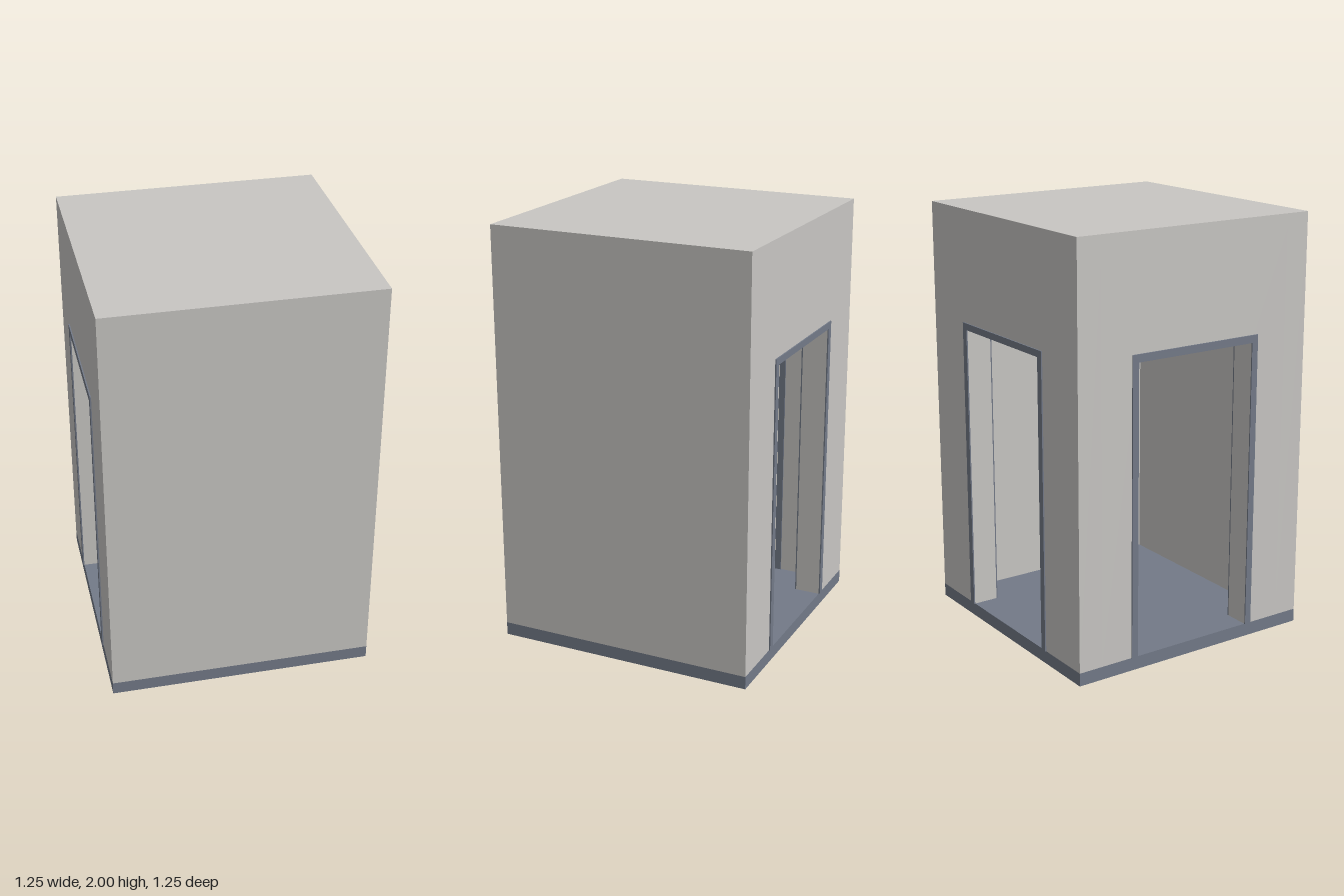
import * as THREE from 'three';

const H = 0.622;     // half width of the room
const T = 0.12;      // wall thickness
const BASE = 0.062;  // floor slab height
const TOP = 2;
const ROOF = 0.065;
const P = 0.006;     // how far the door trim stands proud
const DOOR = { half: 0.312, top: 1.437, trim: 0.032 };

export function createModel() {
  const plaster = new THREE.MeshStandardMaterial({ color: 0xc8c6c3 });
  plaster.name = 'warm grey plaster';
  const slate = new THREE.MeshStandardMaterial({ color: 0x737a88 });
  slate.name = 'slate blue';

  const model = new THREE.Group();
  model.name = 'room';
  const room = new THREE.Group();
  room.name = 'roomShell';
  room.position.set(P / 2, 0, P / 2); // centre the whole, trim included
  model.add(room);

  function add(parent, name, geometry, material, x, y, z) {
    const mesh = new THREE.Mesh(geometry, material);
    mesh.name = name;
    mesh.position.set(x, y, z);
    parent.add(mesh);
    return mesh;
  }

  // Upside-down U: an outer rectangle with a doorway cut up from the floor
  function archShape(outerHalf, outerTop, innerHalf, innerTop) {
    return new THREE.Shape([
      [-outerHalf, BASE], [-innerHalf, BASE], [-innerHalf, innerTop], [innerHalf, innerTop],
      [innerHalf, BASE], [outerHalf, BASE], [outerHalf, outerTop], [-outerHalf, outerTop],
    ].map(([x, y]) => new THREE.Vector2(x, y)));
  }
  const extrude = (shape, depth) => new THREE.ExtrudeGeometry(shape, { depth, bevelEnabled: false });

  // Wall with a doorway; its outer face lies on local z = 0, inside is +z
  function doorWall(name, half) {
    const group = new THREE.Group();
    group.name = name;
    const wallTop = TOP - ROOF;
    add(group, name + 'Panel', extrude(archShape(half, wallTop, DOOR.half, DOOR.top), T), plaster, 0, 0, 0);
    const trim = extrude(
      archShape(DOOR.half + DOOR.trim, DOOR.top + DOOR.trim, DOOR.half, DOOR.top), P);
    add(group, 'outerDoorTrim', trim, slate, 0, 0, -P);
    add(group, 'innerDoorTrim', trim, slate, 0, 0, T);
    room.add(group);
    return group;
  }

  // Floor slab and roof
  add(room, 'floorSlab', new THREE.BoxGeometry(2 * H, BASE, 2 * H), slate, 0, BASE / 2, 0);
  add(room, 'roof', new THREE.BoxGeometry(2 * H, ROOF, 2 * H), plaster, 0, TOP - ROOF / 2, 0);

  // Plain walls: front and left
  const wallH = TOP - ROOF - BASE;
  const midY = BASE + wallH / 2;
  add(room, 'frontWall', new THREE.BoxGeometry(2 * H, wallH, T), plaster, 0, midY, H - T / 2);
  add(room, 'leftWall', new THREE.BoxGeometry(T, wallH, 2 * (H - T)), plaster, H - T / 2, midY, 0);

  // Walls with doorways: back and right
  doorWall('backWall', H).position.z = -H;
  const right = doorWall('rightWall', H - T);
  right.rotation.y = Math.PI / 2;
  right.position.x = -H;

  // Lining under the right doorway's lintel
  add(right, 'lintelLining', new THREE.BoxGeometry(2 * DOOR.half, 0.004, T + 2 * P), slate,
    0, DOOR.top - 0.002, T / 2);

  return model;
}
